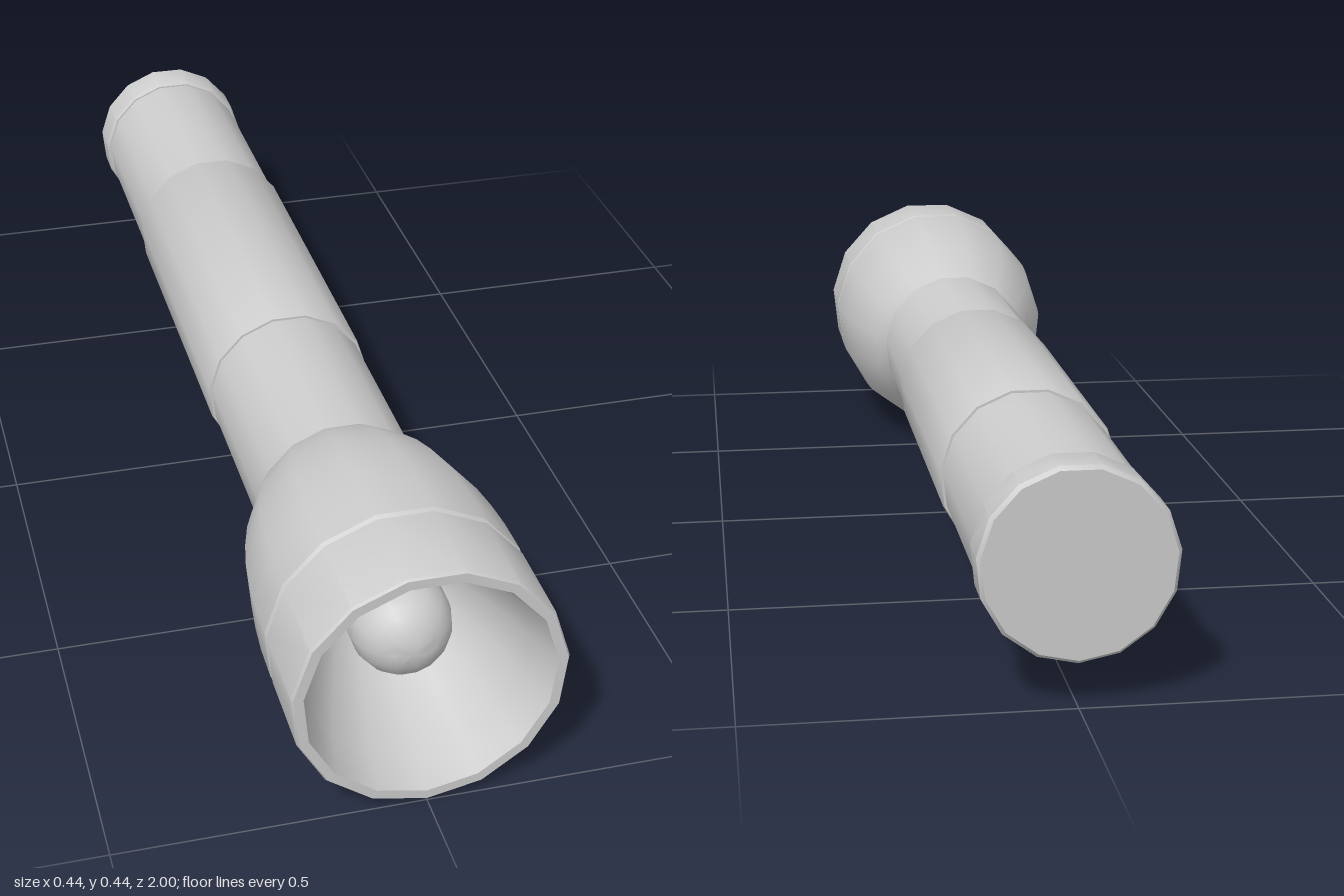
import * as THREE from 'three';
import { toCreasedNormals } from 'three/addons/utils/BufferGeometryUtils.js';

const SIDES = 15;
const AXIS_HEIGHT = 0.22;

export function createModel() {
  const model = new THREE.Group();
  model.name = 'flashlight';
  const material = new THREE.MeshStandardMaterial({ color: 0xcccccc });

  // Turned part: profile of [radius, z], lathed and laid along z
  function turned(name, profile, crease = 0.6) {
    const points = profile.map(([r, z]) => new THREE.Vector2(r, z));
    let geometry = new THREE.LatheGeometry(points, SIDES);
    geometry.rotateX(Math.PI / 2);
    geometry = toCreasedNormals(geometry, crease);
    const mesh = new THREE.Mesh(geometry, material);
    mesh.name = name;
    mesh.position.y = AXIS_HEIGHT;
    model.add(mesh);
    return mesh;
  }

  // Tail cap with softened edges
  turned('tailCap', [
    [0, -1], [0.146, -1], [0.152, -0.993], [0.152, -0.927], [0.148, -0.92], [0.14, -0.92],
  ]);

  // Barrel tubes on both sides of the grip
  turned('rearBarrel', [[0.145, -0.92], [0.145, -0.53]]);
  turned('frontBarrel', [[0.145, 0.12], [0.145, 0.48]]);

  // Raised grip sleeve
  turned('grip', [
    [0.144, -0.53], [0.149, -0.53], [0.151, -0.525], [0.151, 0.115], [0.149, 0.12], [0.144, 0.12],
  ]);

  // Flared head, ending at a fine groove
  turned('head', [
    [0.145, 0.48], [0.165, 0.515], [0.182, 0.555], [0.197, 0.605], [0.208, 0.655],
    [0.215, 0.71], [0.219, 0.765], [0.22, 0.833], [0.215, 0.838], [0.215, 0.842],
  ]);

  // Bezel ring with its front rim
  turned('bezel', [
    [0.215, 0.84], [0.22, 0.846], [0.22, 0.995], [0.217, 1], [0.201, 1],
  ]);

  // Parabolic reflector bowl, profile running inward from the rim
  const bowl = [];
  for (let i = 0; i <= 10; i++) {
    const r = 0.201 * (1 - i / 10);
    bowl.push([r, 0.66 + 0.34 * (r / 0.201) ** 2]);
  }
  turned('reflector', bowl, 1.2);

  // Bulb: short stem and round tip
  const bulb = [[0.083, 0.68]];
  for (let i = 0; i <= 8; i++) {
    const a = (i / 8) * Math.PI / 2;
    bulb.push([i === 8 ? 0 : 0.083 * Math.cos(a), 0.83 + 0.083 * Math.sin(a)]);
  }
  turned('bulb', bulb, 1.2).rotation.z = Math.PI;

  return model;
}
